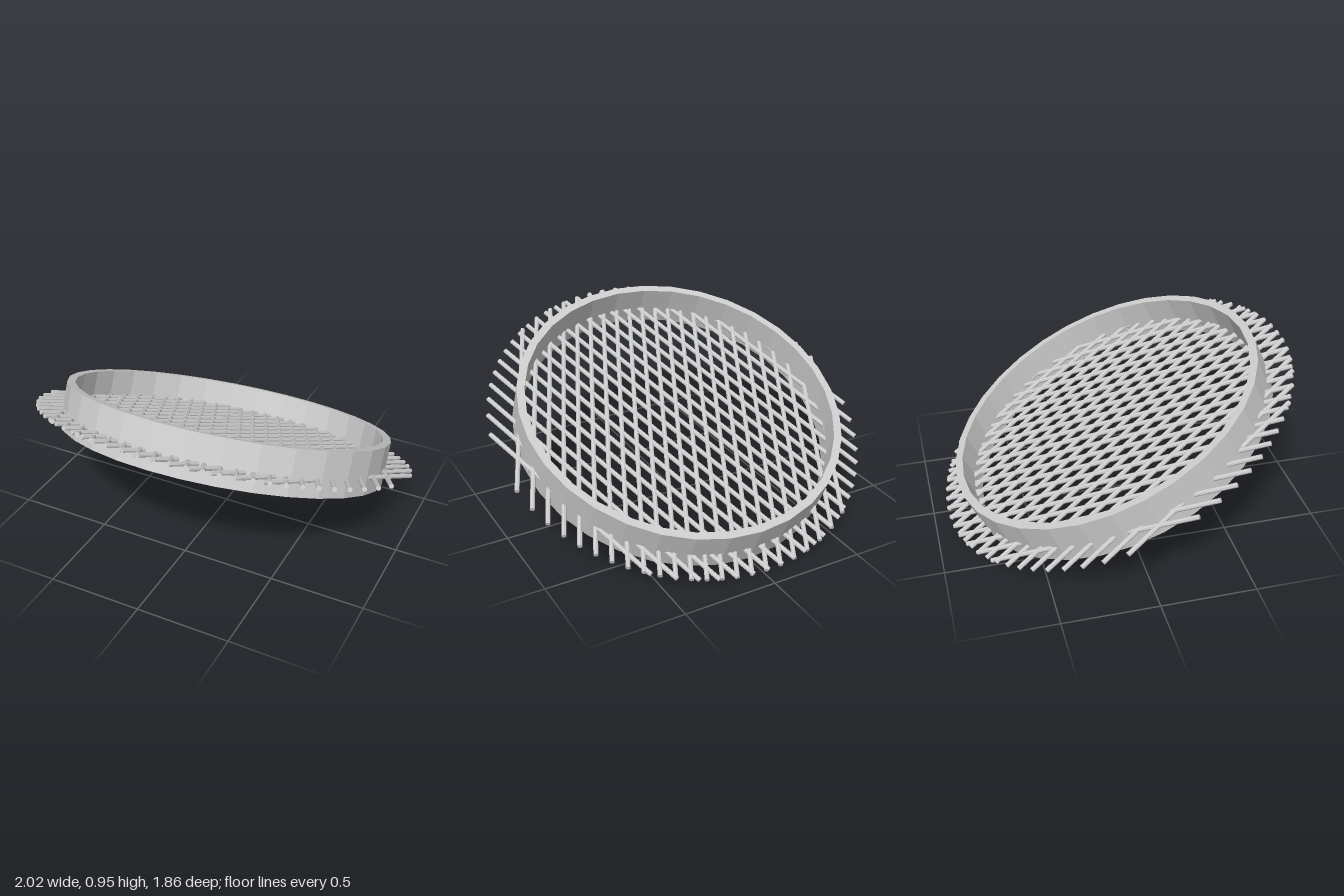
import * as THREE from 'three';

const RING_R = 0.88, WALL = 0.042, HEIGHT = 0.235;
const WIRE_R = 0.0125, WIRE_REACH = 1.015, WIRE_STEP = 0.077, WIRE_COUNT = 11;
const WIRE_ANGLE = 0.396, TILT = 0.433;

export function createModel() {
  const group = new THREE.Group();
  const material = new THREE.MeshStandardMaterial({ color: 0xcccccc, flatShading: true });

  // Tilted sieve, with its front edge raised
  const sieve = new THREE.Group();
  sieve.name = 'sieve';
  sieve.position.set(-0.01, 0.476, -0.011);
  sieve.rotation.x = -TILT;
  group.add(sieve);

  // Faceted hoop with a rectangular wall section
  const h = HEIGHT / 2, inner = RING_R - WALL;
  const section = [[RING_R, -h], [RING_R, h], [inner, h], [inner, -h], [RING_R, -h]]
    .map(([x, y]) => new THREE.Vector2(x, y));
  const hoop = new THREE.Mesh(new THREE.LatheGeometry(section, 32), material);
  hoop.name = 'hoop';
  sieve.add(hoop);

  // Two crossing sets of wires, each cut to a circle wider than the hoop
  for (const side of [-1, 1]) {
    const wires = new THREE.Group();
    wires.name = side < 0 ? 'rightLeaningWires' : 'leftLeaningWires';
    wires.position.y = -0.028;
    wires.rotation.y = side * WIRE_ANGLE;
    for (let i = -WIRE_COUNT; i <= WIRE_COUNT; i++) {
      const d = i * WIRE_STEP;
      const length = 2 * Math.sqrt(WIRE_REACH ** 2 - d ** 2);
      const wire = new THREE.Mesh(new THREE.CylinderGeometry(WIRE_R, WIRE_R, length, 8), material);
      wire.name = 'wire';
      wire.rotation.x = Math.PI / 2;
      wire.position.x = d;
      wires.add(wire);
    }
    sieve.add(wires);
  }
  return group;
}
